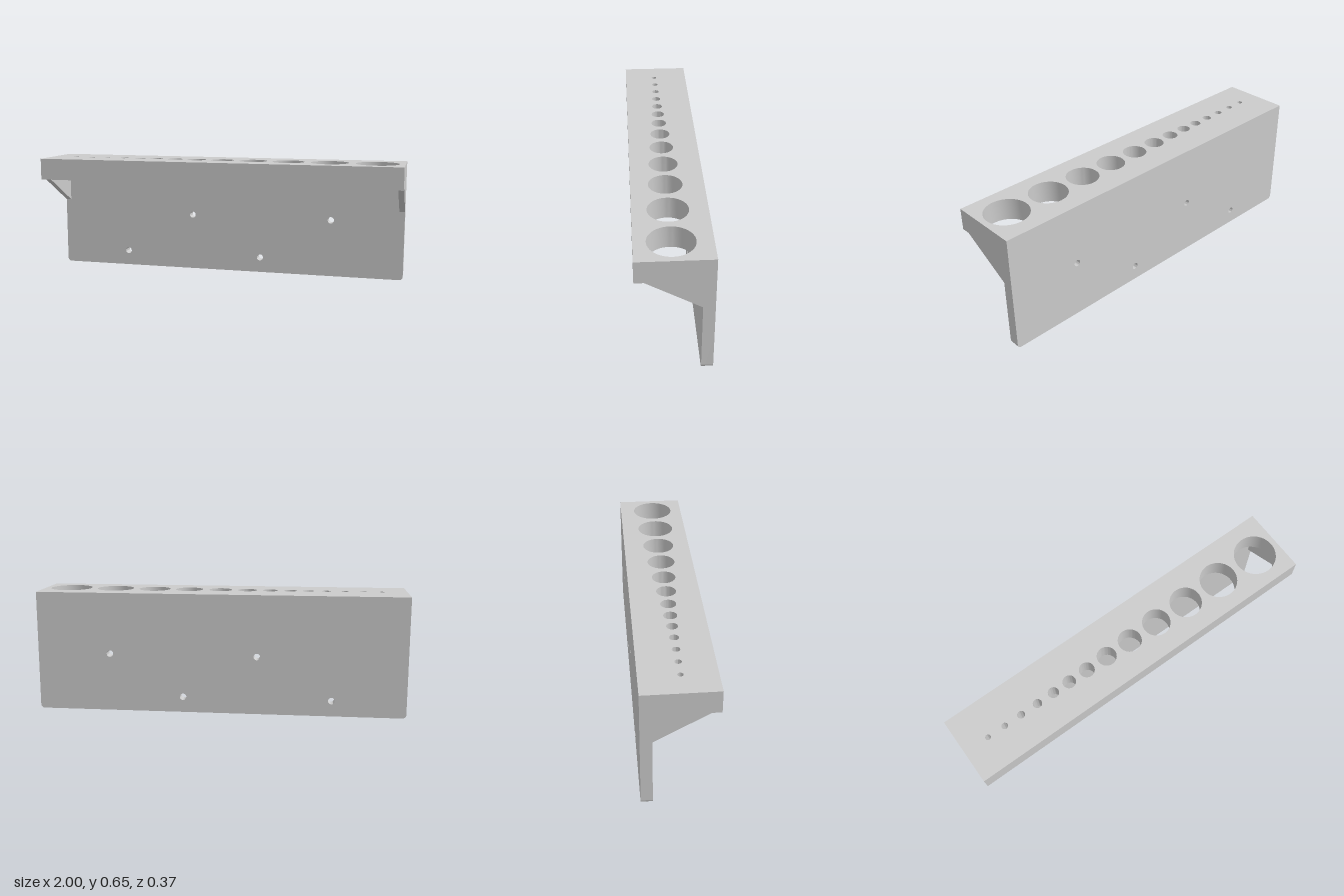
import * as THREE from 'three';
import { toCreasedNormals } from 'three/addons/utils/BufferGeometryUtils.js';

const HEIGHT = 0.65, SHELF_Y = 0.533, HALF_DEPTH = 0.185;
const PLATE_FRONT = -0.127, GUSSET_W = 0.03, CORNER = 0.02;

const material = new THREE.MeshStandardMaterial({ color: 0xcccccc });

function extrude(shape, depth) {
  return new THREE.ExtrudeGeometry(shape, { depth, bevelEnabled: false, curveSegments: 24 });
}

function addPart(group, name, geometry) {
  const mesh = new THREE.Mesh(toCreasedNormals(geometry, 0.6), material);
  mesh.name = name;
  group.add(mesh);
}

function punch(shape, x, y, radius) {
  shape.holes.push(new THREE.Path().absarc(x, y, radius, 0, Math.PI * 2, true));
}

export function createModel() {
  const group = new THREE.Group();
  group.name = 'toolRack';

  // Shelf with a row of graduated holes: [x, radius]
  const shelf = new THREE.Shape()
    .moveTo(-1, -HALF_DEPTH).lineTo(1, -HALF_DEPTH).lineTo(1, HALF_DEPTH).lineTo(-1, HALF_DEPTH);
  shelf.closePath();
  const sizes = [
    [-0.863, 0.0145], [-0.764, 0.017], [-0.665, 0.02], [-0.566, 0.024], [-0.468, 0.029],
    [-0.37, 0.035], [-0.26, 0.041], [-0.134, 0.052], [0.014, 0.063], [0.187, 0.075],
    [0.382, 0.086], [0.604, 0.101], [0.856, 0.114],
  ];
  for (const [x, r] of sizes) punch(shelf, x, -0.01, r);
  addPart(group, 'shelf',
    extrude(shelf, HEIGHT - SHELF_Y).rotateX(-Math.PI / 2).translate(0, SHELF_Y, 0));

  // Back plate with rounded bottom corners and four screw holes
  const plate = new THREE.Shape()
    .moveTo(-1, SHELF_Y).lineTo(-1, CORNER)
    .absarc(-1 + CORNER, CORNER, CORNER, Math.PI, Math.PI * 1.5, false)
    .absarc(1 - CORNER, CORNER, CORNER, Math.PI * 1.5, Math.PI * 2, false)
    .lineTo(1, SHELF_Y);
  plate.closePath();
  for (const [x, y] of [[-0.603, 0.085], [-0.202, 0.317], [0.199, 0.085], [0.6, 0.317]]) {
    punch(plate, x, y, 0.018);
  }
  addPart(group, 'backPlate',
    extrude(plate, PLATE_FRONT + HALF_DEPTH).translate(0, 0, -HALF_DEPTH));

  // Triangular gussets under both ends of the shelf
  const gusset = new THREE.Shape()
    .moveTo(PLATE_FRONT, 0.38).lineTo(0.138, SHELF_Y).lineTo(PLATE_FRONT, SHELF_Y);
  gusset.closePath();
  for (const [name, outerX] of [['leftGusset', 1], ['rightGusset', -1 + GUSSET_W]]) {
    addPart(group, name,
      extrude(gusset, GUSSET_W).rotateY(-Math.PI / 2).translate(outerX, 0, 0));
  }

  return group;
}
